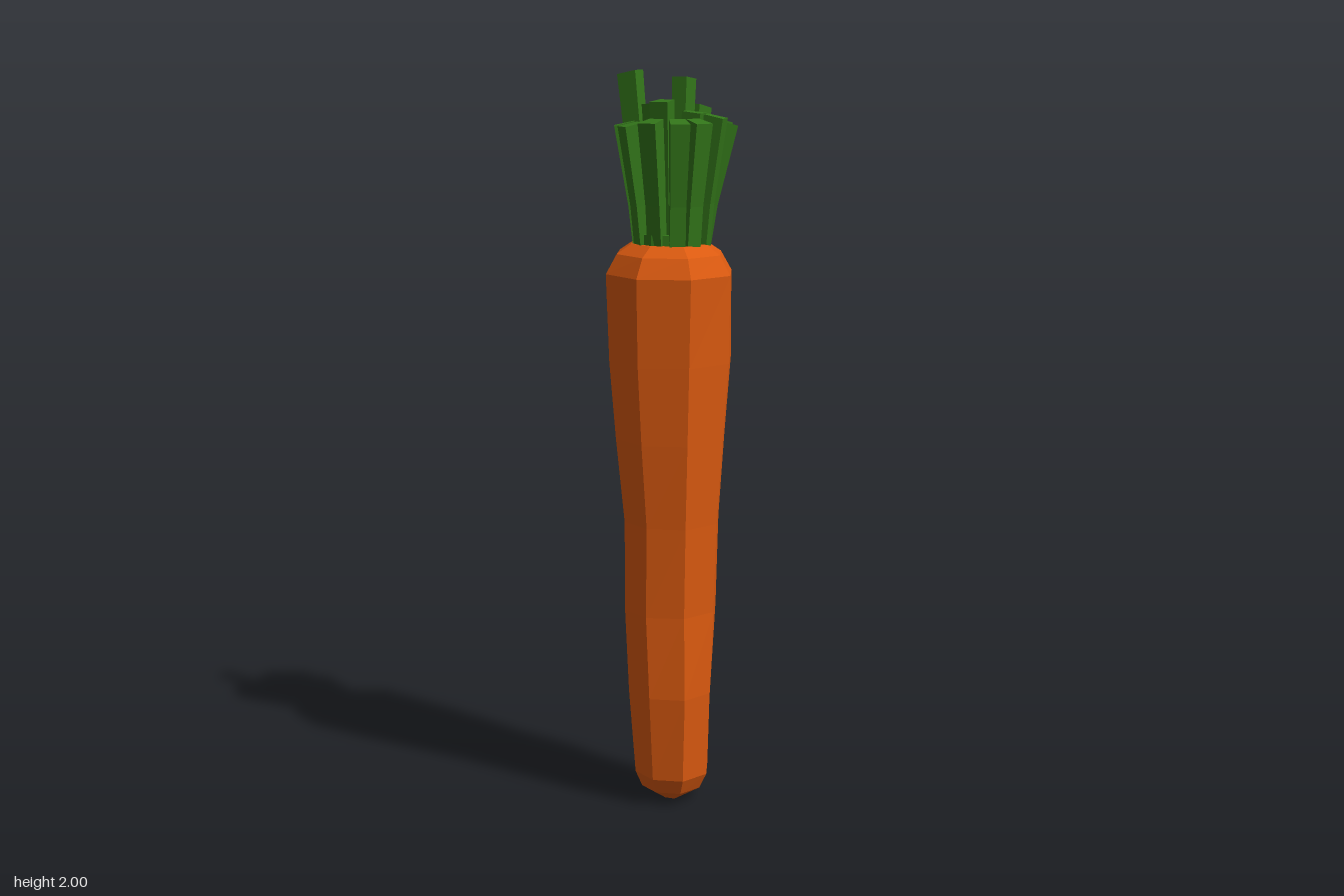
import * as THREE from 'three';

const orange = new THREE.MeshStandardMaterial({ color: 0xdb5a10, flatShading: true });
const green = new THREE.MeshStandardMaterial({ color: 0x33761a, flatShading: true });

// Closed solid through rings of points listed from bottom to top, anticlockwise from above
function loft(name, rings, material) {
  const n = rings[0].length;
  const last = rings.length - 1;
  const pos = [];
  const tri = (...pts) => pts.forEach(p => pos.push(p.x, p.y, p.z));
  const middle = ring => ring.reduce((s, p) => s.add(p), new THREE.Vector3()).divideScalar(n);
  const bottom = middle(rings[0]);
  const top = middle(rings[last]);
  for (let i = 0; i < n; i++) {
    const j = (i + 1) % n;
    for (let k = 0; k < last; k++) {
      const [a, b, c, d] = [rings[k][i], rings[k][j], rings[k + 1][j], rings[k + 1][i]];
      tri(a, b, c);
      tri(a, c, d);
    }
    tri(bottom, rings[0][j], rings[0][i]);
    tri(top, rings[last][i], rings[last][j]);
  }
  const geometry = new THREE.BufferGeometry();
  geometry.setAttribute('position', new THREE.Float32BufferAttribute(pos, 3));
  geometry.computeVertexNormals();
  const mesh = new THREE.Mesh(geometry, material);
  mesh.name = name;
  return mesh;
}

// Uneven octagon reaching to each of four extents
function octagon([y, left, right, back, front]) {
  return Array.from({ length: 8 }, (_, i) => {
    const c = Math.cos(i * Math.PI / 4), s = Math.sin(i * Math.PI / 4);
    const diagonal = i % 2 ? 1.04 : 1;
    return new THREE.Vector3(
      c * diagonal * (c > 0 ? right : left), y,
      -s * diagonal * (s > 0 ? back : front) - 0.008 * (Math.abs(c) > 0.1 ? 1 : 0));
  });
}

// Height, then extents towards -x, +x, -z and +z
const ROOT = [
  [0, 0.03, 0.03, 0.03, 0.03],
  [0.035, 0.083, 0.088, 0.08, 0.085],
  [0.08, 0.102, 0.108, 0.092, 0.108],
  [0.32, 0.12, 0.115, 0.105, 0.125],
  [0.55, 0.13, 0.13, 0.14, 0.118],
  [0.8, 0.13, 0.137, 0.143, 0.13],
  [1.03, 0.153, 0.153, 0.168, 0.146],
  [1.24, 0.17, 0.17, 0.163, 0.16],
  [1.475, 0.178, 0.17, 0.175, 0.174],
  [1.527, 0.148, 0.14, 0.145, 0.147],
  [1.553, 0.108, 0.1, 0.105, 0.108],
];

// Stalk tips: x, height, z
const TIPS = [
  [-0.02, 1.87, -0.125], [0.03, 1.88, -0.13],
  [-0.085, 2.0, -0.09], [0.1, 1.91, -0.085],
  [-0.118, 1.87, -0.035], [-0.03, 1.92, -0.045],
  [0.05, 1.985, -0.058], [0.143, 1.875, -0.035],
  [0.146, 1.87, 0.014], [-0.115, 1.87, 0.016],
  [-0.035, 1.93, 0.038], [0.05, 1.9, 0.036],
  [-0.075, 1.88, 0.07], [0.1, 1.89, 0.065],
  [-0.015, 1.88, 0.115], [0.04, 1.88, 0.11],
];

// Four-sided stalk leaning outwards and widening towards its tip
function stalk([x, height, z]) {
  const angle = Math.atan2(-z, x);
  const radius = Math.hypot(x, z);
  const baseRadius = Math.min(radius * 0.66, 0.08);
  const rings = [[0, 0.021], [0.35, 0.021], [1, 0.026]].map(([t, half]) => {
    const r = THREE.MathUtils.lerp(baseRadius, radius, t ** 1.2);
    const tilt = -0.25 * t * radius / 0.14;
    return [[-1, -1], [1, -1], [1, 1], [-1, 1]].map(([u, v]) => {
      const out = r + u * half;
      const side = v * half * (u > 0 ? 1 : 0.8);
      return new THREE.Vector3(
        Math.cos(angle) * out - Math.sin(angle) * side,
        THREE.MathUtils.lerp(1.54, height - 0.005, t) + u * half * tilt,
        -Math.sin(angle) * out - Math.cos(angle) * side);
    });
  });
  return loft('stalk', rings, green);
}

export function createModel() {
  const model = new THREE.Group();
  model.name = 'carrot';
  model.add(loft('root', ROOT.map(octagon), orange));

  // Leafy top: a short crown with the cluster of stalks on it
  const leaves = new THREE.Group();
  leaves.name = 'leaves';
  const crown = [[1.54, 0.1, 0.09, 0.1, 0.09], [1.58, 0.1, 0.09, 0.1, 0.09]];
  leaves.add(loft('crown', crown.map(octagon), green));
  TIPS.forEach(tip => leaves.add(stalk(tip)));
  model.add(leaves);
  return model;
}
